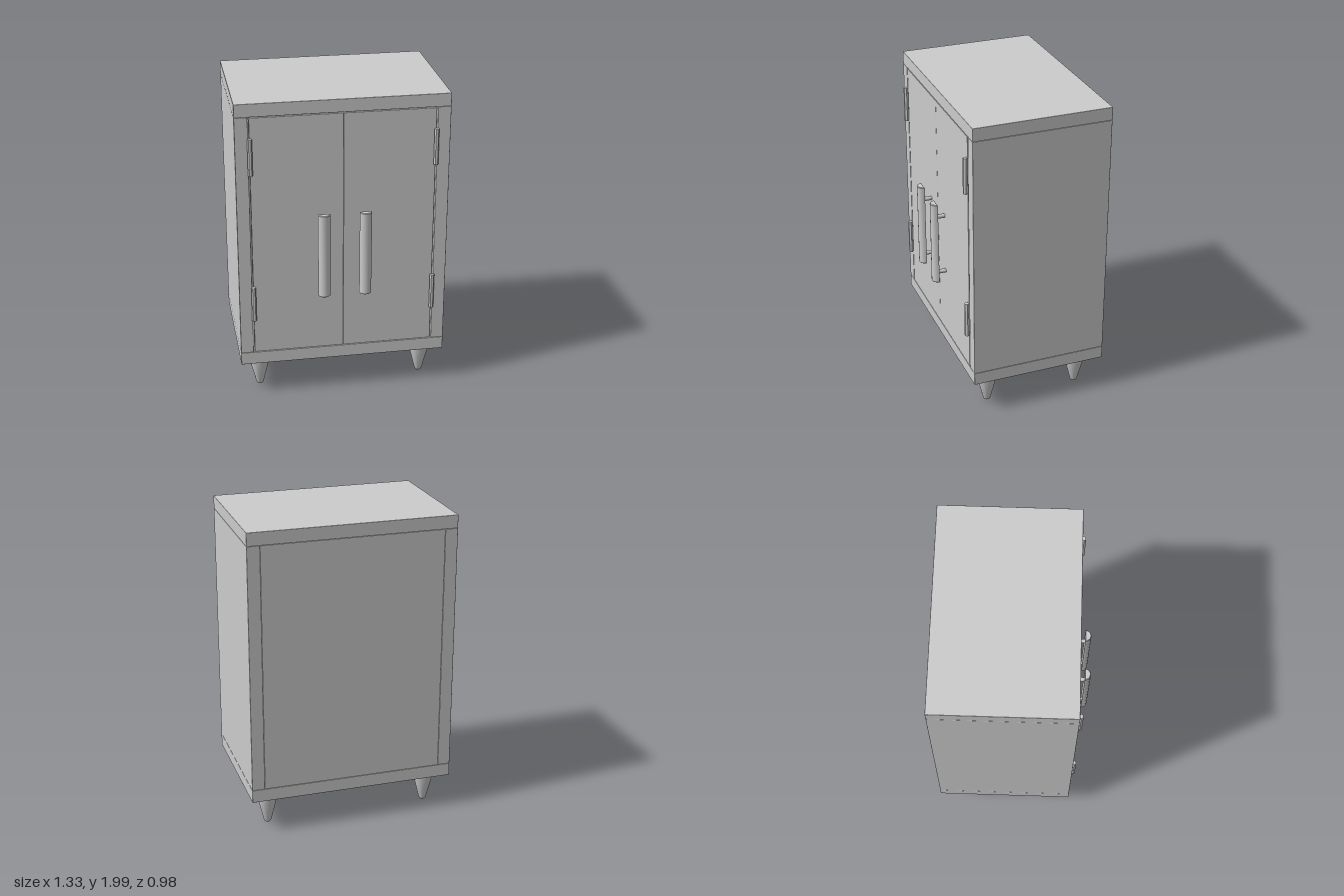
import * as THREE from 'three';
import { toCreasedNormals } from 'three/addons/utils/BufferGeometryUtils.js';
import { RoundedBoxGeometry } from 'three/addons/geometries/RoundedBoxGeometry.js';

const material = new THREE.MeshStandardMaterial({ color: 0xcccccc });

export function createModel() {
  const cabinet = new THREE.Group();
  cabinet.name = 'cabinet';

  function add(name, geometry, x, y, z) {
    const mesh = new THREE.Mesh(geometry, material);
    mesh.name = name;
    mesh.position.set(x, y, z);
    cabinet.add(mesh);
    return mesh;
  }

  // Board given by its minimum and maximum corners, with a fine edge bevel
  function board(name, [x0, y0, z0], [x1, y1, z1]) {
    const geometry = new RoundedBoxGeometry(x1 - x0, y1 - y0, z1 - z0, 1, 0.003);
    return add(name, geometry, (x0 + x1) / 2, (y0 + y1) / 2, (z0 + z1) / 2);
  }

  // Carcass
  board('topBoard', [-0.665, 1.916, -0.49], [0.665, 2, 0.395]);
  board('bottomBoard', [-0.665, 0.23, -0.49], [0.665, 0.315, 0.395]);
  board('leftSide', [0.583, 0.315, -0.49], [0.665, 1.916, 0.395]);
  board('rightSide', [-0.665, 0.315, -0.49], [-0.583, 1.916, 0.395]);
  board('backPanel', [-0.583, 0.315, -0.49], [0.583, 1.916, -0.45]);

  // Handle bar: half-round section, flat towards the door
  const section = new THREE.Shape();
  for (let i = 0; i <= 8; i++) {
    const a = (Math.PI * i) / 8;
    const x = 0.034 * Math.cos(a), y = -0.031 * Math.sin(a);
    if (i === 0) section.moveTo(x, y);
    else section.lineTo(x, y);
  }
  section.closePath();
  const bar = new THREE.ExtrudeGeometry(section, {
    depth: 0.552, bevelEnabled: true, bevelSize: 0.004, bevelThickness: 0.004, bevelSegments: 1,
  });
  bar.translate(0, 0, -0.276).rotateX(-Math.PI / 2);
  const barGeometry = toCreasedNormals(bar, 0.6);

  const postGeometry = new THREE.CylinderGeometry(0.0135, 0.0135, 0.066, 12).rotateX(Math.PI / 2);
  const hingeGeometry = new THREE.CylinderGeometry(0.015, 0.015, 0.234, 6).rotateY(Math.PI / 6);
  const hinge = toCreasedNormals(hingeGeometry, 0.5);

  // Tapered leg with a rounded tip
  const legProfile = [
    [0, 0.006], [0.012, 0.007], [0.02, 0.013], [0.025, 0.025], [0.074, 0.225], [0.074, 0.232], [0, 0.232],
  ].map(([r, y]) => new THREE.Vector2(r, y));
  const legGeometry = toCreasedNormals(new THREE.LatheGeometry(legProfile, 28), 0.7);

  // Doors, hardware and legs, mirrored about the centre
  for (const [side, s] of [['left', 1], ['right', -1]]) {
    const inner = 0, outer = s * 0.576;
    board(side + 'Door',
      [Math.min(inner, outer), 0.318, 0.35], [Math.max(inner, outer), 1.912, 0.395]);
    add(side + 'HandleBar', barGeometry, s * 0.131, 1, 0.454);
    for (const y of [0.78, 1.18]) add(side + 'HandlePost', postGeometry, s * 0.131, y, 0.424);
    for (const y of [0.671, 1.664]) add(side + 'Hinge', hinge, s * 0.575, y, 0.41);
    add(side + 'FrontLeg', legGeometry, s * 0.535, 0, 0.265);
    add(side + 'BackLeg', legGeometry, s * 0.535, 0, -0.35);
  }

  return cabinet;
}
